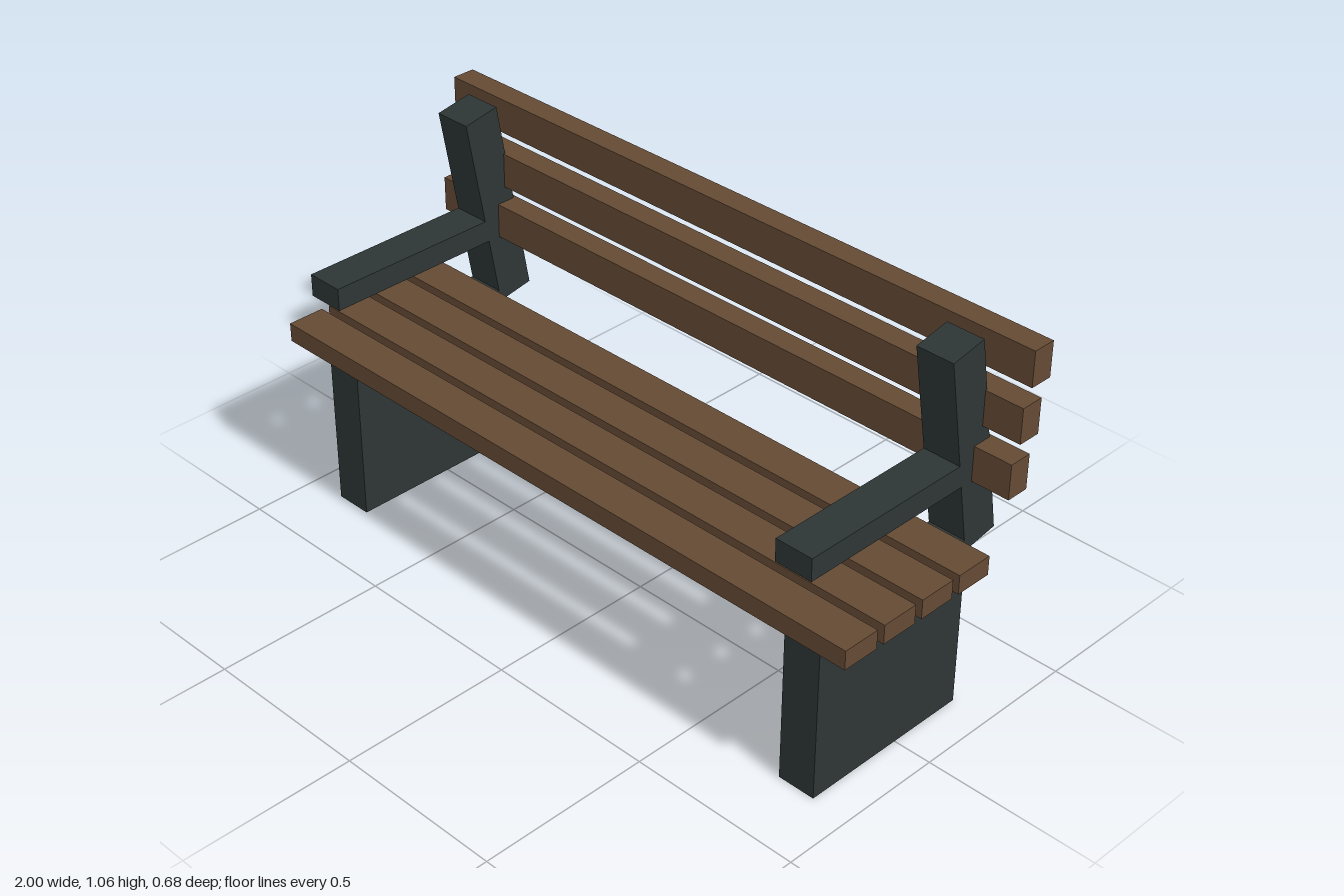
import * as THREE from 'three';

export function createModel() {
  const wood = new THREE.MeshStandardMaterial({ color: 0x654a34 });
  wood.name = 'brown wood';
  const iron = new THREE.MeshStandardMaterial({ color: 0x2d3635 });
  iron.name = 'dark frame';

  const bench = new THREE.Group();
  bench.name = 'bench';

  const box = (name, material, size, position, parent = bench) => {
    const mesh = new THREE.Mesh(new THREE.BoxGeometry(...size), material);
    mesh.name = name;
    mesh.position.set(...position);
    parent.add(mesh);
    return mesh;
  };

  // Seat slats, front to back
  for (let i = 0; i < 4; i++) {
    box('seatSlat', wood, [2, 0.055, 0.11], [0, 0.508, 0.287 - i * 0.134]);
  }

  // Backrest slats, each one higher and further back
  for (let i = 0; i < 3; i++) {
    box('backSlat', wood, [2, 0.1, 0.067], [0, 0.719 + i * 0.145, -0.258 - i * 0.0255]);
  }

  // End frames: leg panel, tilted back post and armrest
  for (const side of [-1, 1]) {
    const frame = new THREE.Group();
    frame.name = side > 0 ? 'leftFrame' : 'rightFrame';
    frame.position.x = side * 0.833;
    bench.add(frame);

    box('legPanel', iron, [0.111, 0.5, 0.524], [0, 0.25, 0.037], frame);
    const post = box('backPost', iron, [0.111, 0.587, 0.11], [0, 0.764, -0.226], frame);
    post.rotation.x = THREE.MathUtils.degToRad(10);
    box('armrest', iron, [0.111, 0.065, 0.541], [0, 0.702, 0.071], frame);
  }

  return bench;
}
